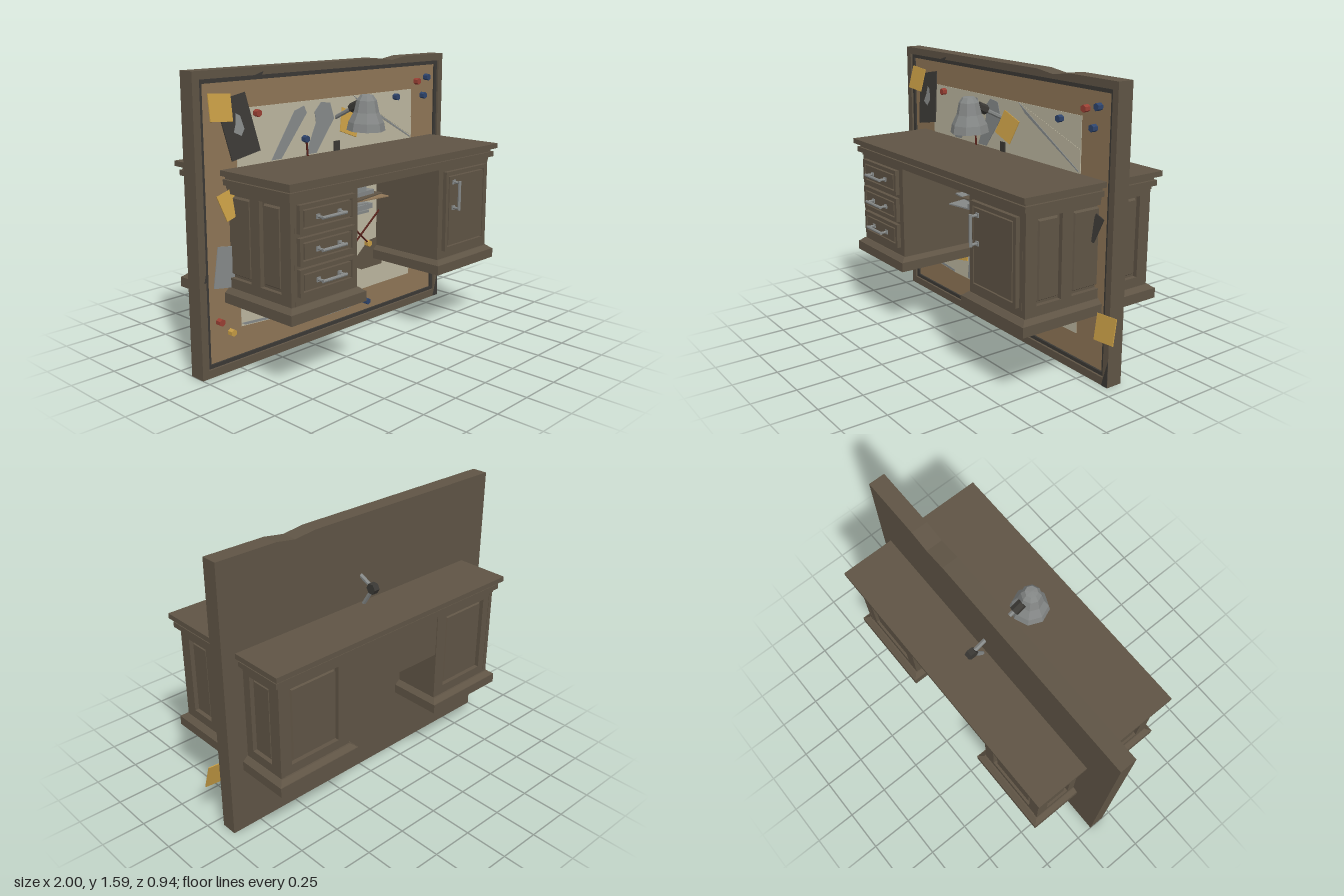
import * as THREE from 'three';

const mat = (name, color) => Object.assign(new THREE.MeshStandardMaterial({ color, side: THREE.DoubleSide }), { name });
const M = {
  wood: mat('wood', 0x5f5445), dark: mat('dark', 0x3b3935), cork: mat('cork', 0x8f7657), paper: mat('paper', 0xbdb7a0),
  slate: mat('slate paper', 0x878b8b), yellow: mat('yellow note', 0xc59b44), red: mat('red pin', 0x9a4034),
  blue: mat('blue', 0x2e446c), string: mat('string', 0x55211a), metal: mat('metal', 0x858887),
};

export function createModel() {
  const root = new THREE.Group();
  root.name = 'deskAndPinboard';

  // Helpers
  const flat = (g) => {
    const f = g.index ? g.toNonIndexed() : g;
    f.computeVertexNormals();
    return f;
  };
  const add = (name, geo, m, parent = root) => {
    const mesh = new THREE.Mesh(geo, m);
    mesh.name = name;
    parent.add(mesh);
    return mesh;
  };
  const box = (name, m, x0, x1, y0, y1, z0, z1, parent = root) => {
    const mesh = add(name, new THREE.BoxGeometry(x1 - x0, y1 - y0, z1 - z0), m, parent);
    mesh.position.set((x0 + x1) / 2, (y0 + y1) / 2, (z0 + z1) / 2);
    return mesh;
  };
  // Box whose chosen end is pulled in along an axis
  const taper = (mesh, axis, inset) => {
    const p = mesh.geometry.attributes.position;
    for (let i = 0; i < p.count; i++) {
      if (p.getComponent(i, axis) <= 0) continue;
      for (let a = 0; a < 3; a++) if (a !== axis) p.setComponent(i, a, p.getComponent(i, a) - Math.sign(p.getComponent(i, a)) * inset);
    }
    mesh.geometry = flat(mesh.geometry);
    return mesh;
  };
  const rod = (name, m, a, b, r, sides = 6, parent = root) => {
    const A = new THREE.Vector3(...a), B = new THREE.Vector3(...b), d = B.clone().sub(A);
    const mesh = add(name, flat(new THREE.CylinderGeometry(r, r, d.length(), sides)), m, parent);
    mesh.position.copy(A).add(B).multiplyScalar(0.5);
    mesh.quaternion.setFromUnitVectors(new THREE.Vector3(0, 1, 0), d.normalize());
    return mesh;
  };
  const poly = (pts, T = THREE.Shape) => new T(pts.map(([x, y]) => new THREE.Vector2(x, y)));
  const rect = (x0, x1, y0, y1) => [[x0, y0], [x1, y0], [x1, y1], [x0, y1]];
  const extrude = (outline, holes, depth) => {
    const s = poly(outline);
    holes.forEach((h) => s.holes.push(poly(h, THREE.Path)));
    return new THREE.ExtrudeGeometry(s, { depth, bevelEnabled: false });
  };
  const plate = (name, m, outline, z, depth = 0.003) => {
    const mesh = add(name, extrude(outline, [], depth), m);
    mesh.position.z = z;
    return mesh;
  };
  // Framed face with sunken panels, facing +z; each hole is [x0, x1, y0, y1]
  const framed = (name, w, y0, y1, holes, depth = 0.025) => {
    const g = new THREE.Group();
    g.name = name;
    add('panelFrame', extrude(rect(-w / 2, w / 2, y0, y1), holes.map((h) => rect(...h)), depth), M.wood, g);
    for (const [a, b, c, d] of holes) {
      taper(box('raisedPanel', M.wood, a + 0.01, b - 0.01, c + 0.01, d - 0.01, -0.005, depth * 0.55, g), 2, 0.012);
    }
    root.add(g);
    return g;
  };

  // Pinboard: slab, chipped frame, dark inner lip and cork
  const outer = [[-1, 0], [0.93, 0], [0.93, 1.59], [0.57, 1.59], [0.45, 1.572], [0.32, 1.588], [-1, 1.59]];
  add('boardBack', extrude(outer, [], 0.05), M.wood).position.z = -0.15;
  add('boardFrame', extrude(outer, [rect(-0.957, 0.892, 0.045, 1.548)], 0.045), M.wood).position.z = -0.1;
  add('innerLip', extrude(rect(-0.957, 0.892, 0.045, 1.548), [rect(-0.935, 0.87, 0.065, 1.525)], 0.033), M.dark).position.z = -0.1;
  box('cork', M.cork, -0.94, 0.875, 0.06, 1.53, -0.1, -0.078);
  const chips = [[[-0.62, 1.545], [-0.55, 1.565], [-0.56, 1.548]], [[-0.97, 0.52], [-0.95, 0.6], [-0.945, 0.53]], [[0.885, 0], [0.929, 0], [0.929, 0.15]]];
  chips.forEach((c) => plate('frameChip', M.dark, c, -0.055, 0.002));

  // Sheets pinned flat on the cork
  plate('largeSheet', M.paper, [[-0.72, 0.22], [-0.5, 0.205], [0.655, 0.205], [0.655, 1.09], [0.655, 1.385], [-0.72, 1.385]], -0.078);
  plate('foldShade', M.slate, [[0.2, 1.33], [0.645, 1.09], [0.64, 1.1], [0.14, 1.385]], -0.074);
  const fold = plate('fold', M.paper, [[0.14, 1.385], [0.655, 1.1], [0.655, 1.21]], -0.07);
  fold.rotation.x = -0.005;
  plate('lowerFold', M.slate, [[-0.72, 0.24], [-0.7, 0.225], [-0.5, 0.21], [-0.51, 0.225]], -0.073);
  plate('streak', M.slate, [[-0.49, 1.09], [-0.42, 1.09], [-0.23, 1.32], [-0.25, 1.36], [-0.32, 1.34]], -0.074);
  plate('streak', M.slate, [[-0.24, 1.09], [-0.16, 1.09], [-0.02, 1.27], [-0.05, 1.36], [-0.12, 1.37], [-0.17, 1.32], [-0.16, 1.26]], -0.074);
  plate('slateSheet', M.slate, rect(-0.1, 0.105, 0.12, 0.435), -0.066);
  plate('brownSheet', M.wood, [[0.12, 0.38], [0.12, 0.37], [0.21, 0.33], [0.39, 0.33], [0.39, 0.51], [0.27, 0.5]], -0.073);
  const sheet = (name, m, x, y, w, h, turn, z = -0.06, tilt = 0) => {
    const s = box(name, m, x - w / 2, x + w / 2, y - h / 2, y + h / 2, z - 0.003, z + 0.003);
    s.rotation.set(tilt, 0, turn, 'ZXY');
    return s;
  };
  sheet('spottedSheet', M.metal, -0.235, 0.36, 0.2, 0.31, -0.12, -0.07);
  [[-0.25, 0.37], [-0.21, 0.36], [-0.245, 0.31], [-0.2, 0.42]].forEach(([x, y]) => sheet('spot', M.dark, x, y, 0.025, 0.03, 0.5, -0.067));
  sheet('sideSheet', M.slate, -0.8, 0.57, 0.17, 0.22, -0.15, -0.068);
  const photo = sheet('photo', M.dark, -0.735, 1.3, 0.19, 0.31, 0.18, -0.04, -0.16);
  const blot = add('photoShape', new THREE.ShapeGeometry(poly([[-0.04, -0.02], [0, -0.05], [0.03, -0.02], [0.025, 0.05], [0, 0.07], [-0.015, 0.02]])), M.metal, photo);
  blot.position.z = 0.005;
  sheet('darkSheet', M.dark, 0.81, 0.84, 0.06, 0.14, -0.35, -0.045, -0.15);
  [[-0.85, 1.405, -0.08, -0.035], [0.075, 1.24, -0.35, -0.045], [0.925, 0.335, 0.08, -0.03], [-0.39, 0.4, 0.2, -0.05], [-0.785, 0.91, 0.3, -0.045]]
    .forEach(([x, y, t, z]) => sheet('stickyNote', M.yellow, x, y, 0.14, 0.14, t, z, -0.22));

  // Pins and strings
  const pins = [['red', [[-0.59, 1.353], [0.695, 1.43], [-0.22, 0.49], [-0.87, 0.287]]],
    ['blue', [[-0.25, 1.18], [-0.22, 0.88], [0.5, 1.35], [0.755, 1.34], [0.787, 1.45], [0.005, 0.41], [0.247, 0.123]]],
    ['yellow', [[0.257, 0.487], [-0.795, 0.21]]]];
  for (const [c, list] of pins) for (const [x, y] of list) rod('pin', M[c], [x, y, -0.08], [x, y, -0.045], 0.02, 6);
  [[-0.25, 1.18, -0.22, 0.88], [-0.22, 0.88, -0.4, 0.8], [-0.22, 0.88, 0.03, 0.72], [0.03, 0.8, 0.4, 0.92], [0.005, 0.41, 0.4, 0.72], [0.257, 0.487, -0.02, 0.74]]
    .forEach(([a, b, c, d]) => rod('string', M.string, [a, b, -0.056], [c, d, -0.056], 0.006, 5));

  // Desk top with stepped moulding
  box('deskTop', M.wood, -0.83, 0.85, 1.055, 1.084, -0.47, 0.44);
  box('topNeck', M.wood, -0.8, 0.82, 1.03, 1.055, -0.44, 0.41);
  box('topMoulding', M.wood, -0.815, 0.835, 1.005, 1.035, -0.447, 0.422);
  box('underMoulding', M.wood, -0.795, 0.815, 0.985, 1.005, -0.43, 0.4);
  box('backApron', M.wood, -0.33, 0.35, 0.74, 0.99, -0.42, -0.395);

  // Pedestals
  const ZC = -0.015;
  for (const [x0, x1, side] of [[-0.79, -0.325, -1], [0.345, 0.81, 1]]) {
    const xc = (x0 + x1) / 2, outX = side < 0 ? x0 : x1;
    box('pedestalBody', M.wood, side < 0 ? x0 + 0.025 : x0, side < 0 ? x1 : x1 - 0.025, 0.44, 0.99, -0.4, 0.398);
    box('pedestalBase', M.wood, x0 - 0.034, x1 + 0.034, 0.38, 0.435, -0.465, 0.435);
    taper(box('baseMoulding', M.wood, x0 - 0.03, x1 + 0.03, 0.435, 0.457, -0.46, 0.43), 1, 0.025);
    const sideFace = framed('sidePanels', 0.825, 0.44, 0.99, [[-0.34, -0.185, 0.51, 0.958], [-0.115, 0.115, 0.51, 0.958], [0.185, 0.34, 0.51, 0.958]]);
    sideFace.position.set(outX - side * 0.025, 0, ZC);
    sideFace.rotation.y = side * Math.PI / 2;
    const back = framed('backPanel', x1 - x0, 0.44, 0.99, [[-0.16, 0.16, 0.51, 0.958]]);
    back.position.set(xc, 0, -0.4);
    back.rotation.y = Math.PI;
  }

  // Drawers, door and pulls
  const pull = (x, y, vertical) => {
    const g = new THREE.Group();
    g.name = 'handle';
    rod('grip', M.metal, [-0.085, 0, 0.045], [0.085, 0, 0.045], 0.009, 8, g);
    for (const s of [-1, 1]) {
      rod('handlePost', M.metal, [s * 0.075, 0, 0], [s * 0.075, 0, 0.047], 0.008, 8, g);
      box('handlePlate', M.metal, s * 0.075 - 0.012, s * 0.075 + 0.012, -0.012, 0.012, 0, 0.008, g);
    }
    g.position.set(x, y, 0.421);
    if (vertical) g.rotation.z = Math.PI / 2;
    root.add(g);
  };
  const front = (name, x0, x1, y0, y1) => {
    const w = x1 - x0;
    framed(name, w, y0, y1, [[-w / 2 + 0.022, w / 2 - 0.022, y0 + 0.022, y1 - 0.022]], 0.024).position.set((x0 + x1) / 2, 0, 0.398);
    box('frontPanel', M.wood, x0 + 0.03, x1 - 0.03, y0 + 0.03, y1 - 0.03, 0.4, 0.422);
  };
  [[0.825, 0.968], [0.663, 0.803], [0.505, 0.645]].forEach(([a, b]) => {
    front('drawer', -0.75, -0.365, a, b);
    pull(-0.557, (a + b) / 2, false);
  });
  front('door', 0.385, 0.765, 0.505, 0.968);
  pull(0.45, 0.83, true);

  // Lamp
  const lamp = new THREE.Group();
  lamp.name = 'lamp';
  root.add(lamp);
  const profile = [[0.107, 0], [0.098, 0.045], [0.07, 0.1], [0.055, 0.165], [0.035, 0.193], [0, 0.197]].map(([r, y]) => new THREE.Vector2(r, y));
  const shade = add('lampShade', flat(new THREE.LatheGeometry(profile, 8)), M.metal, lamp);
  shade.position.set(0, 1.224, 0.155);
  shade.rotation.x = 0.03;
  rod('lampSocket', M.dark, [0, 1.36, 0.1], [0, 1.335, 0.045], 0.028, 6, lamp);
  rod('upperArm', M.metal, [0, 1.345, 0.07], [0, 1.195, -0.24], 0.012, 6, lamp);
  rod('lowerArm', M.metal, [0, 1.195, -0.24], [0, 1.08, -0.17], 0.012, 6, lamp);
  rod('lampJoint', M.dark, [-0.018, 1.195, -0.24], [0.018, 1.195, -0.24], 0.032, 6, lamp);
  box('lampFoot', M.dark, -0.022, 0.022, 1.08, 1.14, -0.074, -0.068, lamp);

  // Bundle of papers and clip hanging in the kneehole
  box('blueClip', M.blue, -0.055, 0.05, 0.61, 0.985, -0.03, 0.03);
  [['metal', -0.01, 0.935, 0.13, 0.02, 0], ['metal', 0.01, 0.905, 0.22, 0.035, 0.05], ['slate', -0.02, 0.875, 0.19, 0.03, -0.1],
    ['metal', 0.02, 0.845, 0.26, 0.025, 0.1], ['wood', 0.05, 0.815, 0.4, 0.006, 0.2], ['metal', -0.1, 0.795, 0.36, 0.008, -0.15],
    ['cork', 0.08, 0.805, 0.36, 0.006, -0.1], ['slate', 0.01, 0.765, 0.25, 0.03, 0.08], ['metal', -0.19, 0.74, 0.22, 0.008, 0.2],
    ['metal', 0, 0.74, 0.2, 0.015, 0]].forEach(([m, x, y, w, h, turn]) => {
    box('bundleSheet', M[m], x - w / 2, x + w / 2, y - h / 2, y + h / 2, -0.05, 0.09).rotation.y = turn;
  });
  for (const z of [-0.2, -0.28]) box('rearClip', M.blue, 0.1, 0.2, 0.72, 0.985, z - 0.008, z + 0.008);
  return root;
}
